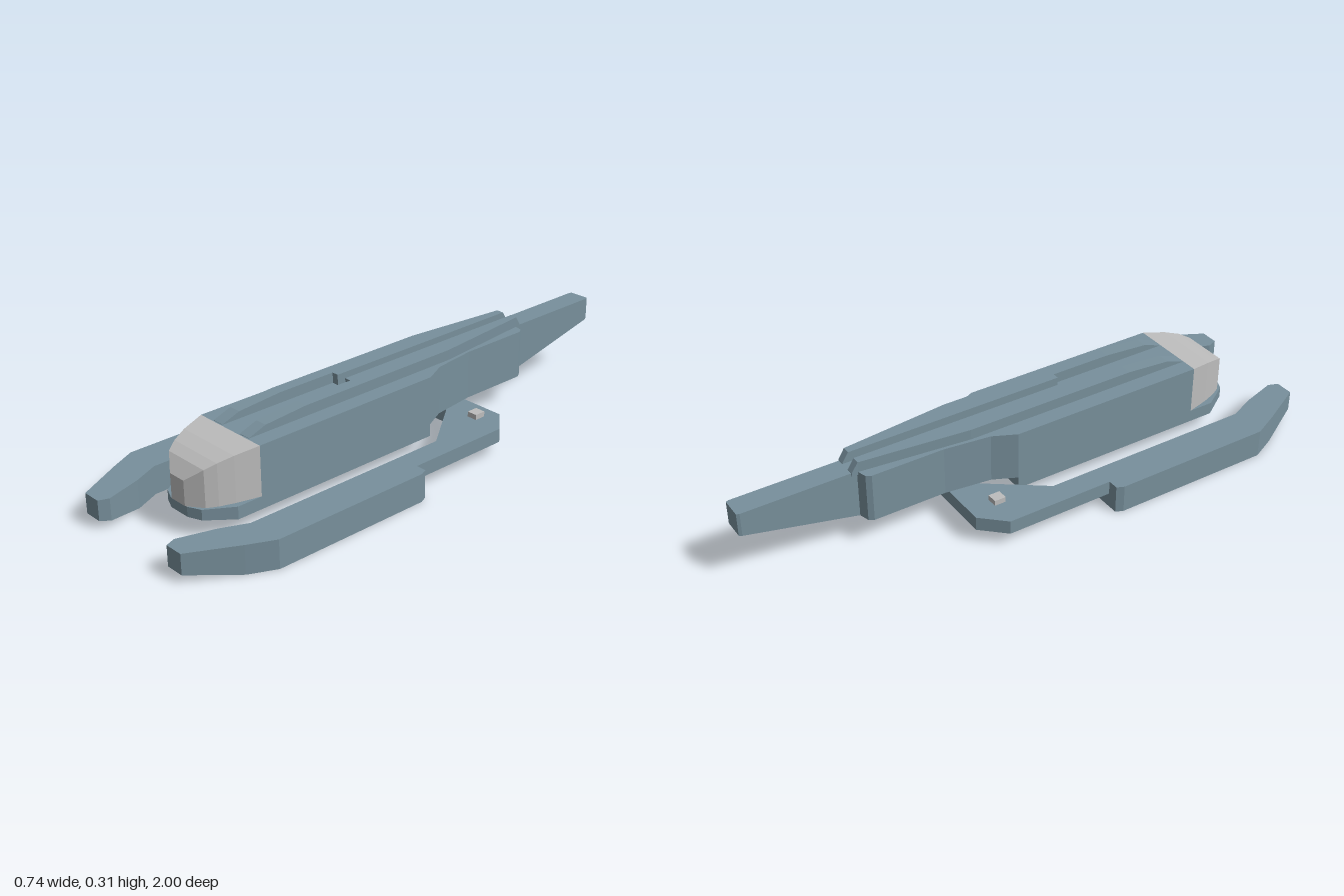
import * as THREE from 'three';

const steel = new THREE.MeshStandardMaterial({ color: 0x78909c });
steel.name = 'steel blue';
const pale = new THREE.MeshStandardMaterial({ color: 0xbdbdbd });
pale.name = 'pale grey';

// Close a half outline of [x, z] points across the centre line
const mirrored = (half) => [...half, ...half.map(([x, z]) => [-x, z]).reverse()];

// Slab with a plan outline of [x, z] points; bottom(z) may tilt its underside
function slab(points, y0, y1, bottom, hole) {
  const toVec = ([x, z]) => new THREE.Vector2(x, -z);
  const shape = new THREE.Shape(points.map(toVec));
  if (hole) shape.holes.push(new THREE.Path(hole.map(toVec)));
  const geo = new THREE.ExtrudeGeometry(shape, { depth: y1 - y0, bevelEnabled: false });
  geo.rotateX(-Math.PI / 2).translate(0, y0, 0);
  if (bottom) {
    const p = geo.attributes.position;
    for (let i = 0; i < p.count; i++) {
      if (p.getY(i) < (y0 + y1) / 2) p.setY(i, bottom(p.getZ(i)));
    }
    geo.computeVertexNormals();
  }
  return geo;
}

// Faceted body through rectangular sections [z, x0, x1, y0, y1], front to back
function loft(sections) {
  const rings = sections.map(([z, x0, x1, y0, y1]) =>
    [[x0, y0, z], [x1, y0, z], [x1, y1, z], [x0, y1, z]]);
  const out = [];
  const quad = (a, b, c, d) => out.push(...a, ...b, ...c, ...a, ...c, ...d);
  quad(...rings[0]);
  for (let s = 0; s < rings.length - 1; s++) {
    for (let i = 0; i < 4; i++) {
      const j = (i + 1) % 4;
      quad(rings[s][i], rings[s + 1][i], rings[s + 1][j], rings[s][j]);
    }
  }
  quad(...[...rings[rings.length - 1]].reverse());
  const geo = new THREE.BufferGeometry();
  geo.setAttribute('position', new THREE.Float32BufferAttribute(out, 3));
  geo.computeVertexNormals();
  return geo;
}

export function createModel() {
  const model = new THREE.Group();
  model.name = 'spacecraft';
  const add = (name, geo, mat = steel) => {
    const mesh = new THREE.Mesh(geo, mat);
    mesh.name = name;
    model.add(mesh);
    return mesh;
  };

  // Main hull, narrowing toward the tail
  add('hull', slab(mirrored([[0.143, 0.63], [0.143, -0.08], [0.105, -0.16], [0.085, -0.32],
    [0.085, -0.575], [0.075, -0.592], [0.04, -0.602]]), 0.1, 0.27));

  // Tail boom with a rising underside
  add('tailBoom', loft([
    [-0.58, -0.04, 0.04, 0.1, 0.27],
    [-0.6, -0.04, 0.04, 0.1, 0.27],
    [-0.99, -0.04, 0.04, 0.188, 0.27],
    [-1, -0.036, 0.036, 0.19, 0.27],
  ]));

  // Faceted canopy
  add('canopy', loft([
    [0.832, 0.033, 0.185], [0.795, 0.085, 0.226], [0.76, 0.104, 0.243],
    [0.71, 0.122, 0.257], [0.63, 0.143, 0.27],
  ].map(([z, w, top]) => [z, -w, w, 0.1, top])), pale);

  // Keel plate under the hull, open underneath near the nose
  const keel = mirrored([[0.04, 0.83], [0.085, 0.81], [0.143, 0.72], [0.143, -0.08]]);
  add('keelTop', slab(keel, 0.088, 0.1));
  add('keelBottom', slab(keel, 0.057, 0.088,
    (z) => 0.057 + 0.008 * Math.max(0, (z - 0.72) / 0.1),
    mirrored([[0.082, 0.67], [0.07, 0.77]])));

  // Rear yoke carrying the side arms
  add('yoke', slab(mirrored([[0.1, -0.2], [0.24, -0.01], [0.24, 0.16], [0.32, 0.16],
    [0.32, -0.225], [0.245, -0.305]]), 0.05, 0.098));

  for (const side of [1, -1]) {
    const label = side > 0 ? 'left' : 'right';
    const flip = ([z, a, b, y0, y1]) => (side > 0 ? [z, a, b, y0, y1] : [z, -b, -a, y0, y1]);

    // Rails along the back of the hull
    add(label + 'OuterRail', loft([
      [0.625, 0.042, 0.085, 0.26, 0.271],
      [0.56, 0.042, 0.085, 0.26, 0.294],
      [0.4, 0.042, 0.085, 0.26, 0.306],
      [-0.22, 0.042, 0.085, 0.26, 0.306],
      [-0.6, 0.042, 0.045, 0.26, 0.306],
      [-0.622, 0.042, 0.044, 0.26, 0.272],
    ].map(flip)));
    add(label + 'InnerRail', loft([
      [0.18, 0.018, 0.042, 0.26, 0.306],
      [-0.6, 0.018, 0.042, 0.26, 0.306],
      [-0.622, 0.018, 0.042, 0.26, 0.272],
    ].map(flip)));

    // Forward prong with an upswept tip
    const prong = [[0.24, 0.155], [0.357, 0.155], [0.368, 0.18], [0.368, 0.75], [0.325, 0.84],
      [0.24, 1], [0.175, 1], [0.162, 0.965], [0.2, 0.84], [0.24, 0.75]];
    add(label + 'Prong', slab(prong.map(([x, z]) => [x * side, z]), 0, 0.098,
      (z) => 0.028 * Math.max(0, (z - 0.84) / 0.16)));

    // Small block above the yoke
    add(label + 'Block', new THREE.BoxGeometry(0.037, 0.018, 0.04), pale)
      .position.set(side * 0.224, 0.122, -0.213);
  }
  return model;
}
